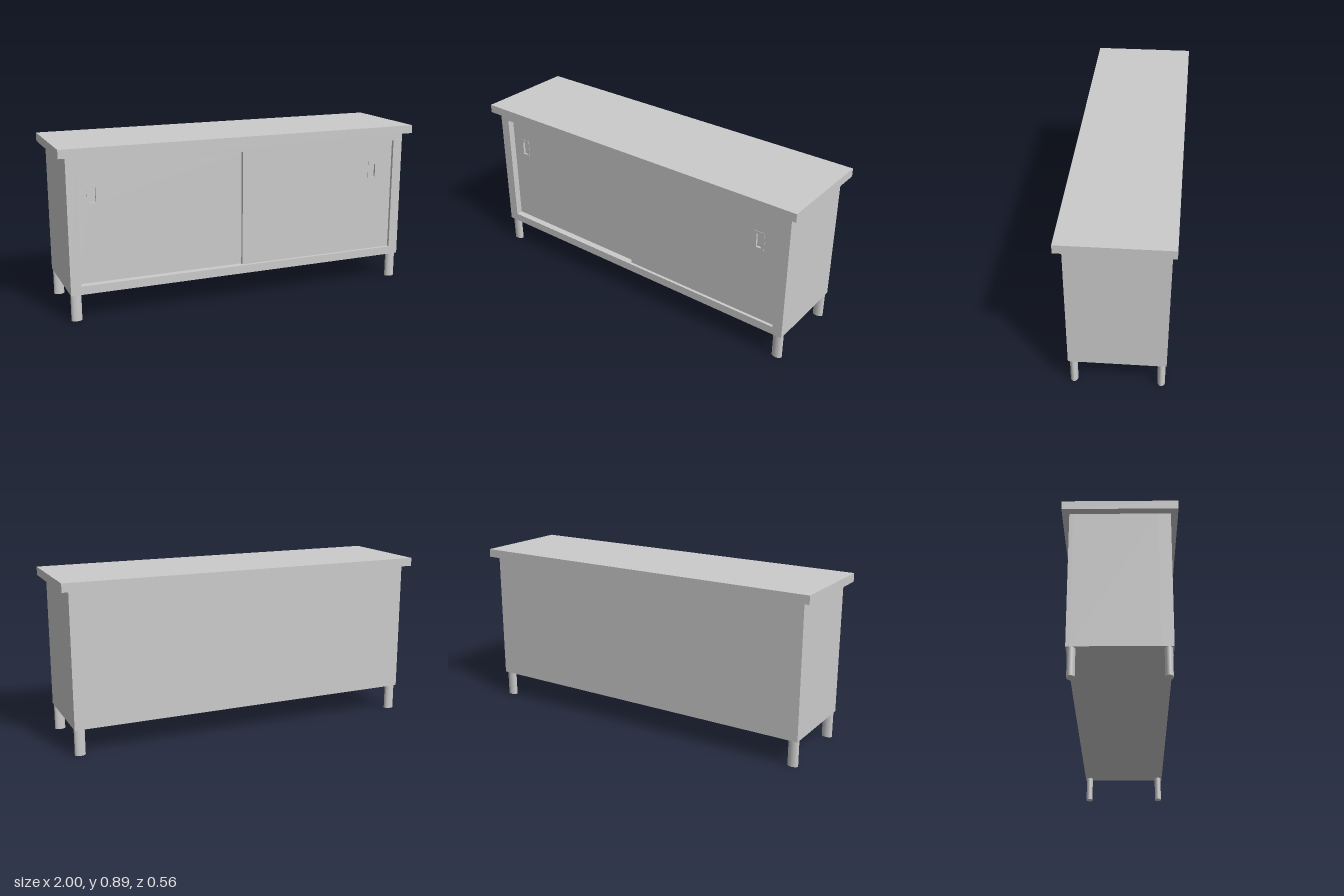
import * as THREE from 'three';

const material = new THREE.MeshStandardMaterial({ color: 0xcccccc });

function add(parent, name, geometry, x, y, z) {
  const mesh = new THREE.Mesh(geometry, material);
  mesh.name = name;
  mesh.position.set(x, y, z);
  parent.add(mesh);
  return mesh;
}

// Box given by its lower and upper limits on each axis
function box(parent, name, [x0, x1], [y0, y1], [z0, z1]) {
  return add(parent, name, new THREE.BoxGeometry(x1 - x0, y1 - y0, z1 - z0),
    (x0 + x1) / 2, (y0 + y1) / 2, (z0 + z1) / 2);
}

function rectangle(Type, [x0, x1], [y0, y1]) {
  return new Type([[x0, y0], [x1, y0], [x1, y1], [x0, y1]].map(([x, y]) => new THREE.Vector2(x, y)));
}

// Flat panel with a rectangular hole, its front face at z = front
function pierced(parent, name, xs, ys, holeX, holeY, front, depth) {
  const shape = rectangle(THREE.Shape, xs, ys);
  shape.holes.push(rectangle(THREE.Path, holeX, holeY));
  const geometry = new THREE.ExtrudeGeometry(shape, { depth, bevelEnabled: false });
  return add(parent, name, geometry, 0, 0, front - depth);
}

// Sliding door with a framed, recessed finger pull
function door(name, xs, front, pullX) {
  const group = new THREE.Group();
  group.name = name;
  const thick = 0.018;
  const plateX = [pullX - 0.031, pullX + 0.031], plateY = [0.59, 0.695];
  const slotX = [pullX - 0.014, pullX + 0.014], slotY = [0.605, 0.68];
  pierced(group, 'doorPanel', xs, [0.185, 0.81], slotX, slotY, front, thick);
  pierced(group, 'pullFrame', plateX, plateY, slotX, slotY, front + 0.002, 0.002);
  box(group, 'pullRecess', slotX, slotY, [front - thick, front - 0.01]);
  return group;
}

export function createModel() {
  const model = new THREE.Group();
  const W = 0.96, D = 0.243, Y0 = 0.14, Y1 = 0.85, T = 0.02;

  // Overhanging worktop
  box(model, 'worktop', [-1, 1], [Y1, 0.895], [-0.278, 0.278]);

  // Cabinet shell
  const cabinet = new THREE.Group();
  cabinet.name = 'cabinet';
  model.add(cabinet);
  const frameDepth = 0.06, inner = D - frameDepth;
  pierced(cabinet, 'frontFrame', [-W, W], [Y0, Y1], [-0.905, 0.905], [0.185, 0.81], D, frameDepth);
  box(cabinet, 'backPanel', [-W, W], [Y0, Y1], [-D, -D + T]);
  box(cabinet, 'floorPanel', [-W + T, W - T], [Y0, Y0 + T], [-D + T, inner]);
  box(cabinet, 'shelf', [-W + T, W - T], [0.5, 0.52], [-D + T, inner - 0.03]);
  for (const s of [-1, 1]) {
    add(cabinet, 'sidePanel', new THREE.BoxGeometry(T, Y1 - Y0, inner + D - T),
      s * (W - T / 2), (Y0 + Y1) / 2, (inner - D + T) / 2);
  }

  // Sliding doors: the left one in picture order runs on the rear track
  model.add(door('rearDoor', [-0.905, 0.02], D - 0.037, -0.82));
  model.add(door('frontDoor', [-0.015, 0.905], D - 0.016, 0.785));

  // Oval legs
  for (const sx of [-1, 1]) {
    for (const sz of [-1, 1]) {
      const leg = add(model, 'leg', new THREE.CylinderGeometry(1, 1, Y0, 32), sx * 0.931, Y0 / 2, sz * 0.218);
      leg.scale.set(0.028, 1, 0.019);
    }
  }
  return model;
}
